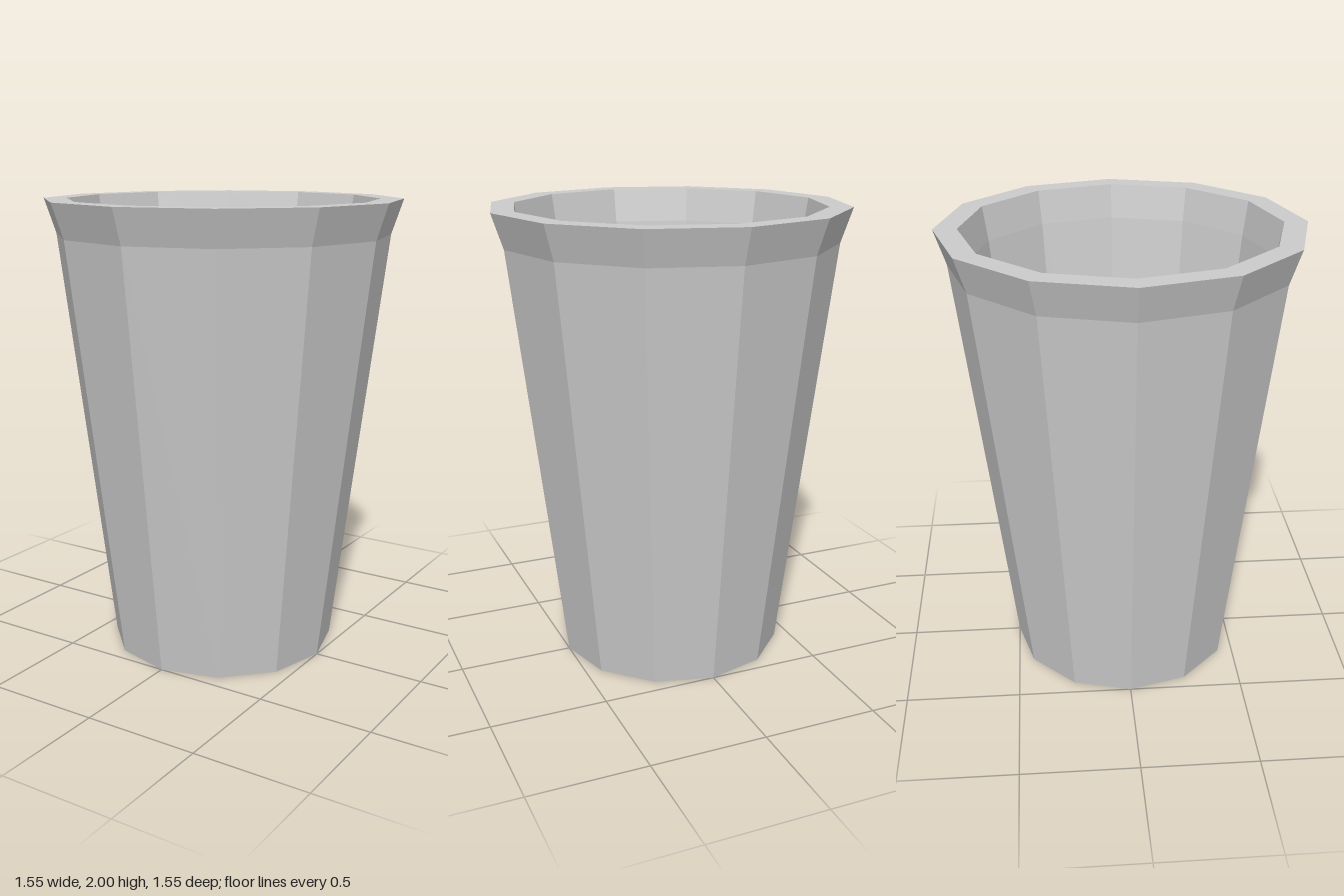
import * as THREE from 'three';

const SIDES = 12;

// Revolve a [radius, height] profile into a faceted surface
function lathe(name, profile, material) {
  const points = profile.map(([r, y]) => new THREE.Vector2(r, y));
  const mesh = new THREE.Mesh(new THREE.LatheGeometry(points, SIDES), material);
  mesh.name = name;
  return mesh;
}

export function createModel() {
  const group = new THREE.Group();
  group.name = 'cup';
  const material = new THREE.MeshStandardMaterial({ color: 0xcccccc, flatShading: true });

  // Base disc and tapered outer wall with a flared lip
  group.add(lathe('outerWall', [[0, 0], [0.5, 0], [0.725, 1.85], [0.775, 2]], material));

  // Flat ring on top of the lip
  group.add(lathe('rim', [[0.775, 2], [0.675, 2]], material));

  // Hollow inside, running down to the floor
  group.add(lathe('innerWall', [[0.675, 2], [0.65, 1.85], [0.45, 0.08], [0, 0.08]], material));

  return group;
}
